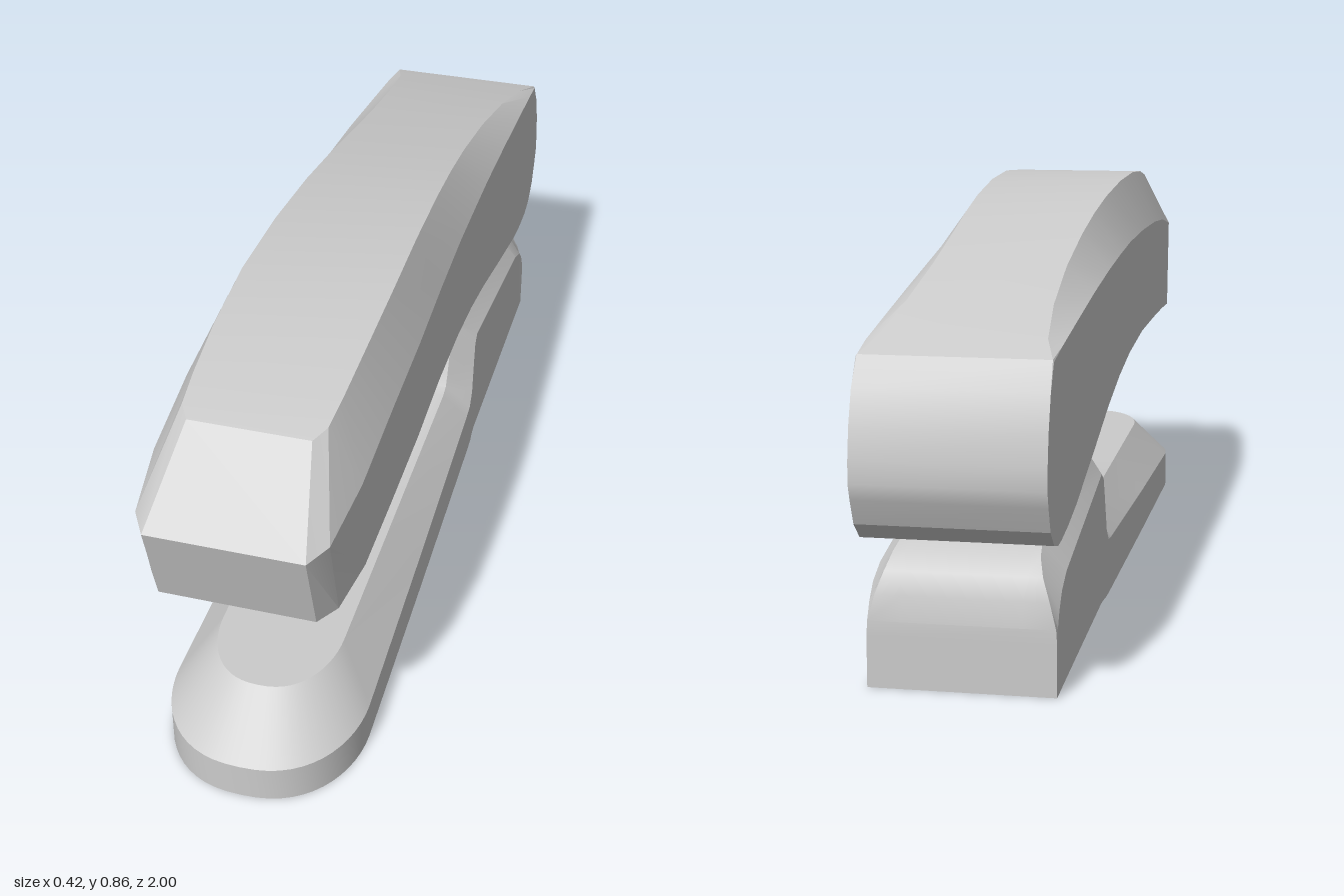
import * as THREE from 'three';
import { toCreasedNormals } from 'three/addons/utils/BufferGeometryUtils.js';

const material = new THREE.MeshStandardMaterial({ color: 0xcccccc });

function addMesh(parent, name, geometry, x = 0, y = 0, z = 0) {
  const mesh = new THREE.Mesh(geometry, material);
  mesh.name = name;
  mesh.position.set(x, y, z);
  parent.add(mesh);
  return mesh;
}

// Skins half-sections ([x, y, z] points from bottom to top on the +x side),
// mirrored in x and ordered from front to back, with both ends capped.
function loft(halves, crease) {
  const n = halves[0].length * 2;
  const positions = [];
  const index = [];
  for (const half of halves) {
    const mirrored = half.map(([x, y, z]) => [-x, y, z]).reverse();
    positions.push(...half.flat(), ...mirrored.flat());
  }
  for (let i = 0; i < halves.length - 1; i++) {
    for (let j = 0; j < n; j++) {
      const a = i * n + j, b = i * n + (j + 1) % n;
      index.push(a, a + n, b, b, a + n, b + n);
    }
  }
  const last = (halves.length - 1) * n;
  for (let j = 0; j < n / 2 - 1; j++) {
    const a = j, b = j + 1, c = n - 2 - j, d = n - 1 - j;
    index.push(a, b, c, a, c, d);
    index.push(last + a, last + c, last + b, last + a, last + d, last + c);
  }
  const geometry = new THREE.BufferGeometry();
  geometry.setAttribute('position', new THREE.Float32BufferAttribute(positions, 3));
  geometry.setIndex(index);
  return toCreasedNormals(geometry, crease);
}

// Plate cut to a (z, y) profile, with its thickness along x.
function sidePlate(profile, thickness) {
  const shape = new THREE.Shape(profile.map(([z, y]) => new THREE.Vector2(z, y)));
  const geometry = new THREE.ExtrudeGeometry(shape, { depth: thickness, bevelEnabled: false });
  return geometry.rotateY(-Math.PI / 2).translate(thickness / 2, 0, 0);
}

function handleGeometry() {
  // bottom z, y | shoulder z, y | top z, y | half width, top half width
  const stations = [
    [0.945, 0.478, 1, 0.665, 0.835, 0.812, 0.155, 0.12],
    [0.9, 0.48, 0.95, 0.672, 0.8, 0.82, 0.185, 0.14],
    [0.78, 0.488, 0.8, 0.7, 0.72, 0.833, 0.203, 0.146],
    [0.6, 0.503, 0.6, 0.73, 0.58, 0.852, 0.208, 0.152],
    [0.4, 0.512, 0.4, 0.745, 0.4, 0.864, 0.21, 0.155],
    [0.2, 0.51, 0.2, 0.747, 0.2, 0.86, 0.205, 0.151],
    [0, 0.492, 0, 0.742, 0, 0.842, 0.2, 0.145],
    [-0.15, 0.468, -0.15, 0.732, -0.15, 0.82, 0.197, 0.14],
    [-0.3, 0.43, -0.3, 0.718, -0.3, 0.792, 0.193, 0.136],
    [-0.5, 0.375, -0.5, 0.698, -0.5, 0.75, 0.19, 0.135],
    [-0.7, 0.32, -0.7, 0.672, -0.7, 0.704, 0.186, 0.142],
    [-0.78, 0.3, -0.85, 0.652, -0.85, 0.664, 0.183, 0.156],
    [-0.84, 0.288, -0.93, 0.636, -0.93, 0.64, 0.18, 0.178],
    [-0.88, 0.288, -0.965, 0.583, -0.965, 0.585, 0.18, 0.18],
    [-0.925, 0.3, -0.988, 0.518, -0.988, 0.52, 0.18, 0.18],
    [-0.965, 0.335, -0.998, 0.458, -0.998, 0.46, 0.18, 0.18],
    [-0.988, 0.385, -1, 0.418, -1, 0.42, 0.18, 0.18],
  ];
  return loft(stations.map(([zb, yb, zs, ys, zt, yt, w, wt]) =>
    [[w, yb, zb], [w, ys, zs], [wt, yt, zt]]), 0.42);
}

function baseGeometry() {
  // shoulder z, y | top z, y | half width, top half width | groove floor y
  const stations = [];
  // Rounded nose
  const steps = 14;
  for (let i = 0; i <= steps; i++) {
    const t = (1 - i / steps) * Math.PI / 2;
    const s = Math.sin(t), c = Math.pow(Math.max(Math.cos(t), 0), 0.85);
    stations.push([0.76 + 0.22 * s, 0.08 + 0.006 * (1 - s), 0.68 + 0.17 * s, 0.18, 0.205 * c, 0.13 * c]);
  }
  // Flat deck, raised grooved heel, rounded back
  stations.push(
    [0.3, 0.1, 0.3, 0.18, 0.197, 0.13],
    [-0.19, 0.118, -0.18, 0.18, 0.187, 0.13],
    [-0.23, 0.122, -0.205, 0.188, 0.186, 0.13],
    [-0.255, 0.15, -0.22, 0.215, 0.185, 0.13],
    [-0.275, 0.23, -0.245, 0.31, 0.183, 0.132, 0.215],
    [-0.287, 0.27, -0.255, 0.332, 0.182, 0.134, 0.215],
    [-0.31, 0.285, -0.27, 0.338, 0.181, 0.135, 0.215],
    [-0.78, 0.212, -0.78, 0.268, 0.18, 0.135, 0.215],
    [-0.785, 0.21, -0.785, 0.267, 0.18, 0.135],
    [-0.835, 0.19, -0.835, 0.252, 0.18, 0.14],
    [-0.865, 0.16, -0.868, 0.222, 0.18, 0.15],
    [-0.882, 0.13, -0.884, 0.18, 0.18, 0.165],
    [-0.89, 0.1, -0.89, 0.13, 0.18, 0.178],
  );
  return loft(stations.map(([zs, ys, zt, yt, w, wt, floor = yt]) => {
    const g = Math.min(0.115, wt);
    return [[w, 0, zs], [w, ys, zs], [wt, yt, zt], [g, yt, zt], [g, floor, zt]];
  }), 0.5);
}

export function createModel() {
  const model = new THREE.Group();
  model.name = 'stapler';

  addMesh(model, 'base', baseGeometry());
  addMesh(model, 'handle', handleGeometry());

  // U-shaped hinge bracket seated in the groove
  const bracket = new THREE.Group();
  bracket.name = 'hingeBracket';
  model.add(bracket);
  const profile = [[-0.24, 0.216], [-0.262, 0.34], [-0.3, 0.45], [-0.5, 0.39], [-0.78, 0.31], [-0.78, 0.216]];
  for (const side of [1, -1]) {
    addMesh(bracket, side > 0 ? 'bracketLeft' : 'bracketRight', sidePlate(profile, 0.03), side * 0.099);
  }
  addMesh(bracket, 'bracketFloor', new THREE.BoxGeometry(0.17, 0.034, 0.53), 0, 0.233, -0.51);

  // Staple magazine under the handle
  addMesh(model, 'magazine', new THREE.BoxGeometry(0.16, 0.16, 1.2), 0, 0.435, 0.148);
  addMesh(model, 'magazineLip', new THREE.BoxGeometry(0.09, 0.012, 0.012), 0, 0.35, 0.742);
  for (const side of [1, -1]) {
    addMesh(model, 'magazineTab', new THREE.BoxGeometry(0.012, 0.012, 0.012), side * 0.07, 0.35, 0.742);
  }
  return model;
}
